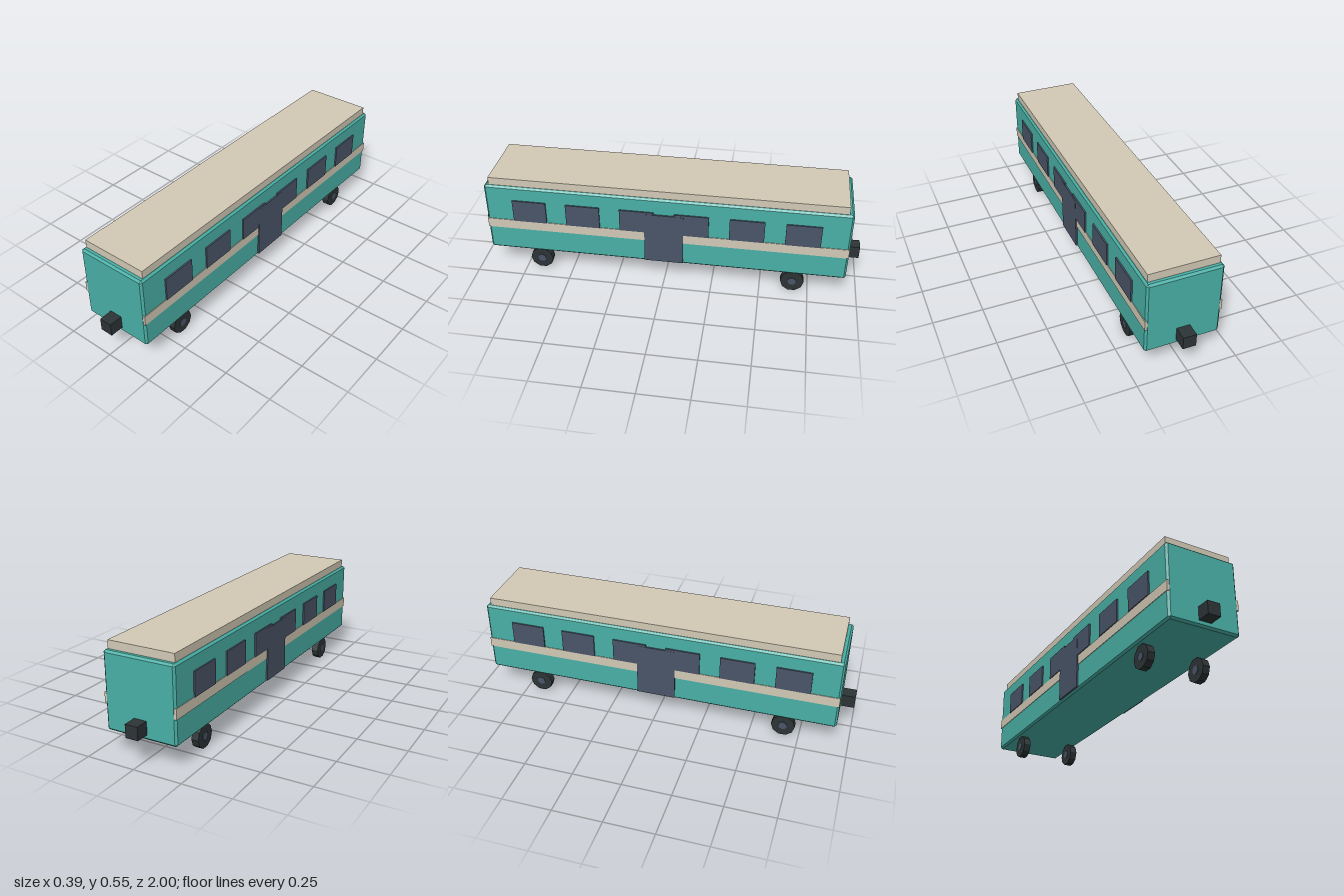
import * as THREE from 'three';
import { ConvexGeometry } from 'three/addons/geometries/ConvexGeometry.js';

const material = (name, color) => {
  const m = new THREE.MeshStandardMaterial({ color });
  m.name = name;
  return m;
};

export function createModel() {
  const teal = material('teal paint', 0x49b0a6);
  const cream = material('cream paint', 0xd2c9b6);
  const slate = material('slate glass', 0x4a5568);
  const dark = material('dark rubber', 0x2d3436);
  teal.flatShading = dark.flatShading = slate.flatShading = true;

  const model = new THREE.Group();
  model.name = 'railCar';

  const add = (name, geometry, mat, x, y, z) => {
    const mesh = new THREE.Mesh(geometry, mat);
    mesh.name = name;
    mesh.position.set(x, y, z);
    model.add(mesh);
    return mesh;
  };
  const box = (name, mat, w, h, d, x, y, z) =>
    add(name, new THREE.BoxGeometry(w, h, d), mat, x, y, z);

  // Body: box with every edge chamfered
  const hx = 0.187, hy = 0.1925, hz = 0.932, c = 0.01;
  const corners = [];
  for (const sx of [-1, 1]) for (const sy of [-1, 1]) for (const sz of [-1, 1]) {
    corners.push(
      new THREE.Vector3(sx * hx, sy * (hy - c), sz * (hz - c)),
      new THREE.Vector3(sx * (hx - c), sy * hy, sz * (hz - c)),
      new THREE.Vector3(sx * (hx - c), sy * (hy - c), sz * hz));
  }
  add('body', new ConvexGeometry(corners), teal, 0, 0.3125, 0);

  // Roof slab and waist stripe
  box('roof', cream, 0.35, 0.045, 1.815, 0, 0.5235, 0);
  box('stripe', cream, 0.38, 0.052, 1.862, 0, 0.279, 0);

  // Windows and doors on both sides
  for (const side of [-1, 1]) {
    for (const z of [-0.7, -0.42, -0.14, 0.14, 0.42, 0.7]) {
      box('window', slate, 0.009, 0.122, 0.176, side * 0.19, 0.366, z);
    }
    box('door', slate, 0.0095, 0.285, 0.2, side * 0.1905, 0.273, 0);
  }

  // Couplers at both ends
  for (const end of [-1, 1]) {
    box('coupler', dark, 0.066, 0.066, 0.072, 0, 0.18, end * 0.964);
  }

  // Wheels with protruding hubs
  const wheelGeo = new THREE.CylinderGeometry(0.0605, 0.0605, 0.037, 10).rotateZ(Math.PI / 2);
  const hubGeo = new THREE.CylinderGeometry(0.022, 0.022, 0.043, 8).rotateZ(Math.PI / 2);
  for (const x of [-0.147, 0.147]) for (const z of [-0.667, 0.667]) {
    add('wheel', wheelGeo, dark, x, 0.0575, z);
    add('hub', hubGeo, slate, x, 0.0575, z);
  }

  return model;
}
